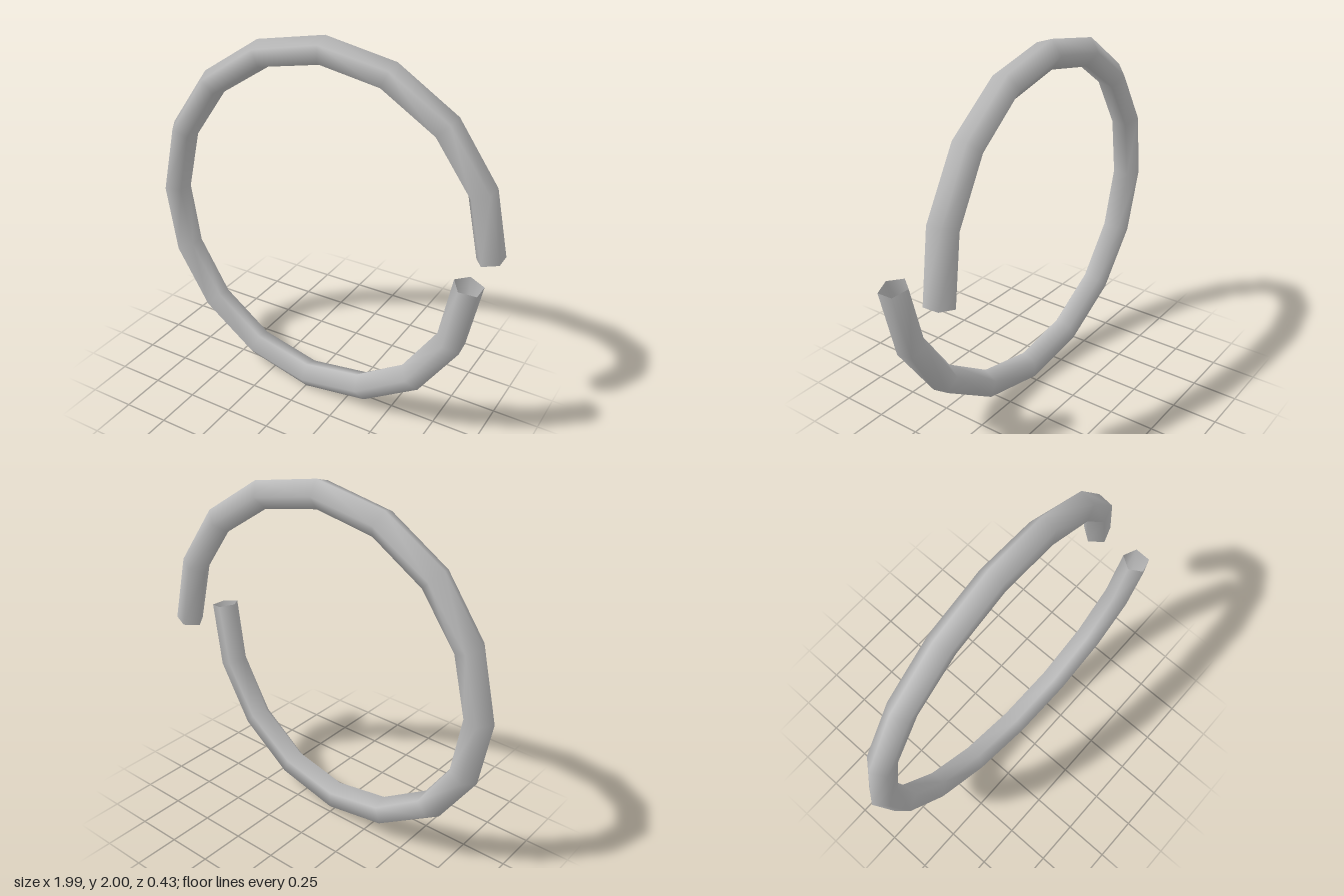
import * as THREE from 'three';

const SEGMENTS = 16, SIDES = 5;
const RING = 0.9245, TUBE = 0.077, RISE = 0.14;

// One turn of a flat helix, starting and ending at +x
function pathPoint(i) {
  const a = (i / SEGMENTS) * Math.PI * 2;
  return new THREE.Vector3(
    0.005 + RING * Math.cos(a), 1 + RING * Math.sin(a), RISE * (2 * i / SEGMENTS - 1));
}

// Five-sided tube swept along the helix, twisting by one side per turn, open at both ends
function coilGeometry() {
  const positions = [], indices = [];
  for (let i = 0; i <= SEGMENTS; i++) {
    const centre = pathPoint(i);
    const tangent = pathPoint(Math.min(i + 1, SEGMENTS)).sub(pathPoint(Math.max(i - 1, 0))).normalize();
    const side = new THREE.Vector3(0, 0, 1).addScaledVector(tangent, -tangent.z).normalize();
    const outward = new THREE.Vector3().crossVectors(tangent, side);
    const isEnd = i === 0 || i === SEGMENTS;
    const mitre = isEnd ? 1 : 1 / Math.cos(Math.PI / SEGMENTS);
    const twist = (2 * i / SEGMENTS - 1) * Math.PI / SIDES;
    for (let j = 0; j < SIDES; j++) {
      const b = twist + (j / SIDES) * Math.PI * 2;
      const p = centre.clone()
        .addScaledVector(outward, TUBE * mitre * Math.cos(b))
        .addScaledVector(side, TUBE * Math.sin(b));
      positions.push(p.x, p.y, p.z);
    }
  }
  for (let i = 0; i < SEGMENTS; i++) {
    for (let j = 0; j < SIDES; j++) {
      const k = (j + 1) % SIDES;
      const a = i * SIDES + j, b = i * SIDES + k;
      const c = a + SIDES, d = b + SIDES;
      indices.push(a, b, c, b, d, c);
    }
  }
  const geometry = new THREE.BufferGeometry();
  geometry.setAttribute('position', new THREE.Float32BufferAttribute(positions, 3));
  geometry.setIndex(indices);
  // Make sure the faces point away from the tube's core
  geometry.computeVertexNormals();
  const n = new THREE.Vector3().fromBufferAttribute(geometry.attributes.normal, 8 * SIDES);
  const v = new THREE.Vector3().fromBufferAttribute(geometry.attributes.position, 8 * SIDES);
  if (n.dot(v.sub(pathPoint(8))) < 0) {
    geometry.setIndex(indices.reverse());
    geometry.computeVertexNormals();
  }
  return geometry;
}

export function createModel() {
  const model = new THREE.Group();
  model.name = 'openRing';
  const grey = new THREE.MeshStandardMaterial({ color: 0xbbbbbb, side: THREE.DoubleSide });
  grey.name = 'grey';
  const coil = new THREE.Mesh(coilGeometry(), grey);
  coil.name = 'coil';
  model.add(coil);
  return model;
}
